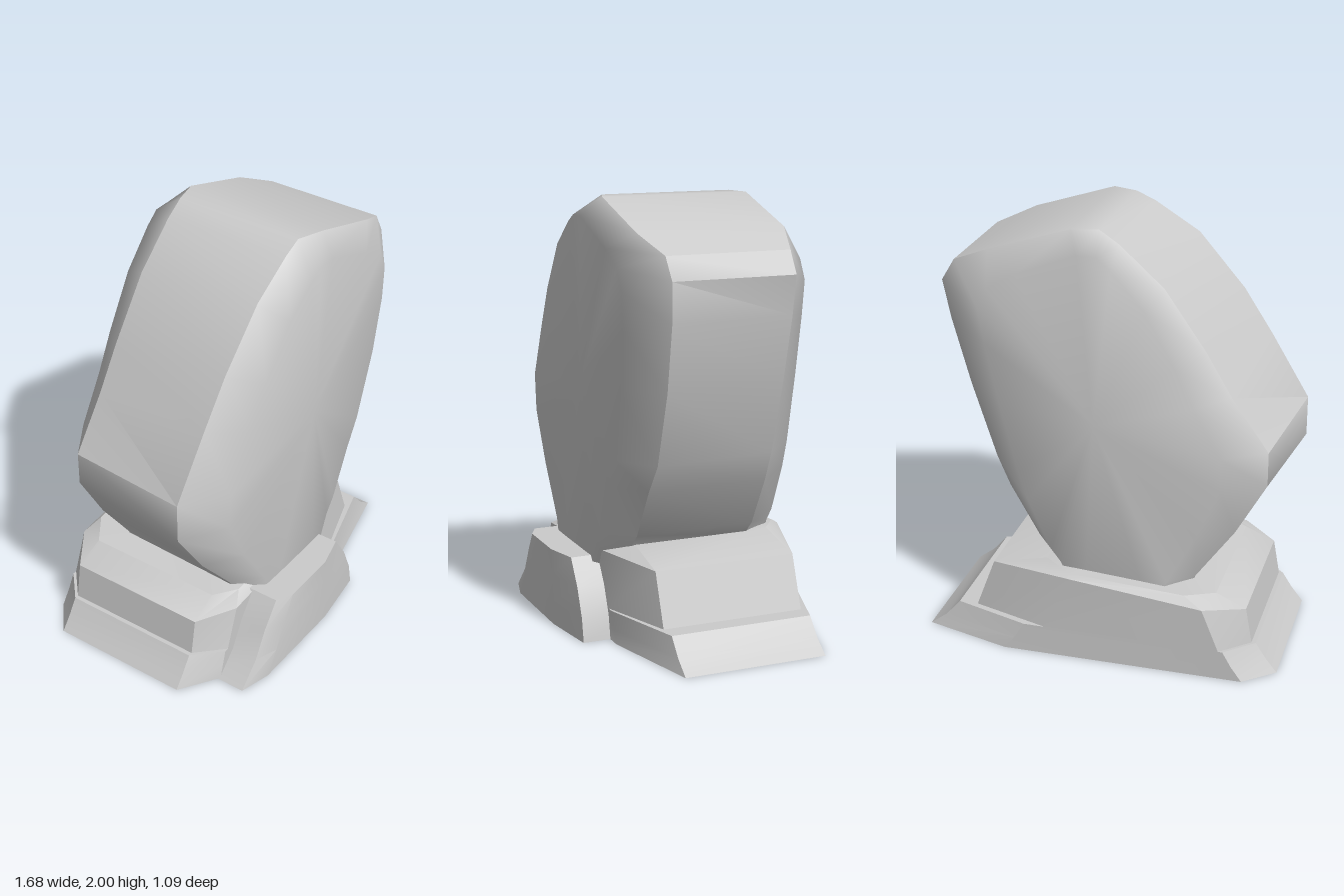
import * as THREE from 'three';
import { toCreasedNormals } from 'three/addons/utils/BufferGeometryUtils.js';

// Skin between rings of [x, y, z] points (counter-clockwise seen from the last ring's side)
function loft(rings, capStart, capEnd) {
  const n = rings[0].length, pos = rings.flat(2), idx = [];
  for (let i = 0; i < rings.length - 1; i++) {
    for (let j = 0; j < n; j++) {
      const k = (j + 1) % n, a = i * n + j, b = i * n + k;
      idx.push(a, b, b + n, a, b + n, a + n);
    }
  }
  const cap = (r, flip) => {
    const c = pos.length / 3;
    for (let m = 0; m < 3; m++) pos.push(rings[r].reduce((s, p) => s + p[m], 0) / n);
    for (let j = 0; j < n; j++) {
      const a = r * n + j, b = r * n + (j + 1) % n;
      idx.push(...(flip ? [c, b, a] : [c, a, b]));
    }
  };
  if (capStart) cap(0, true);
  if (capEnd) cap(rings.length - 1, false);
  const g = new THREE.BufferGeometry();
  g.setAttribute('position', new THREE.Float32BufferAttribute(pos, 3));
  g.setIndex(idx);
  g.computeVertexNormals();
  return g;
}

export function createModel() {
  const model = new THREE.Group();
  const material = new THREE.MeshStandardMaterial({ color: 0xcccccc });
  const add = (name, geometry) => {
    const mesh = new THREE.Mesh(geometry, material);
    mesh.name = name;
    model.add(mesh);
  };

  // Boulder rims, from the bottom up the right-hand edge and down the other
  const rimFront = [
    [0.10, 0.15, 0.26], [0.25, 0.42, 0.265], [0.32, 0.49, 0.265], [0.47, 0.73, 0.27],
    [0.57, 0.87, 0.27], [0.70, 1.22, 0.28], [0.76, 1.52, 0.285], [0.76, 1.70, 0.285],
    [0.70, 1.80, 0.29], [0.52, 1.88, 0.345], [0.14, 2.00, 0.35], [0.02, 2.00, 0.305],
    [-0.07, 1.96, 0.305], [-0.28, 1.83, 0.305], [-0.50, 1.58, 0.295], [-0.64, 1.37, 0.285],
    [-0.82, 1.08, 0.27], [-0.82, 0.89, 0.27], [-0.66, 0.64, 0.28], [-0.45, 0.39, 0.28],
    [-0.36, 0.15, 0.28],
  ];
  const rimBack = [
    [0.10, 0.15, -0.31], [0.25, 0.42, -0.31], [0.32, 0.49, -0.31], [0.46, 0.73, -0.305],
    [0.52, 0.87, -0.305], [0.635, 1.22, -0.30], [0.72, 1.52, -0.295], [0.76, 1.70, -0.29],
    [0.70, 1.80, -0.29], [0.52, 1.88, -0.35], [0.14, 2.00, -0.35], [0.02, 2.00, -0.32],
    [-0.07, 1.94, -0.32], [-0.27, 1.76, -0.32], [-0.46, 1.49, -0.325], [-0.58, 1.29, -0.33],
    [-0.75, 1.05, -0.335], [-0.75, 0.89, -0.335], [-0.61, 0.64, -0.33], [-0.43, 0.39, -0.33],
    [-0.35, 0.15, -0.33],
  ];
  // Ring of a face, shrunk towards the middle
  const inset = (rim, sx, depth) =>
    rim.map(([x, y]) => {
      const py = 1.05 + (y - 1.05) * (y > 1.05 ? 0.91 : 0.96);
      return [-0.05 + (x + 0.05) * sx, py, depth(py)];
    });
  const frontZ = (y) => 0.407 + 0.028 * Math.max(0, y - 0.85);
  const backZ = (y) => -0.463 + 0.021 * Math.max(0, y - 0.85);
  add('boulderRim', toCreasedNormals(loft([rimBack, rimFront]), 0.6));
  add('boulderFront', loft([rimFront, inset(rimFront, 0.75, frontZ)], false, true));
  add('boulderBack', loft([inset(rimBack, 0.73, backZ), rimBack], true, false));

  // Stepped base: left y, right y, left x, right x, back left x, back right x, front left x, front right x
  const tiers = [
    [0.00, 0.00, -0.84, 0.84, -0.70, 0.43, -0.66, 0.34],
    [0.07, 0.06, -0.785, 0.76, -0.65, 0.38, -0.64, 0.31],
    [0.14, 0.14, -0.74, 0.69, -0.61, 0.33, -0.62, 0.28],
    [0.14, 0.14, -0.72, 0.60, -0.59, 0.23, -0.60, 0.24],
    [0.31, 0.38, -0.69, 0.51, -0.51, 0.12, -0.53, 0.16],
  ].map(([yl, yr, l, r, bl, br, fl, fr], i) => {
    const rise = i === 4 ? 0.03 : 0;
    return [
      [fr, yr + rise / 2, 0.375], [r, yr, 0.255], [r, yr, -0.425], [br, yr + rise, -0.545],
      [bl, yl + rise, -0.545], [l, yl, -0.425], [l, yl, 0.255], [fl, yl + rise, 0.375],
    ];
  });
  // Raised shoulder on which the boulder rests
  tiers.push([[0.15, 0.41, 0.33], [0.25, 0.435, 0.25], [0.25, 0.435, -0.42], [0.11, 0.425, -0.52],
    [-0.42, 0.385, -0.51], [-0.55, 0.37, -0.42], [-0.55, 0.37, 0.25], [-0.45, 0.375, 0.33]]);
  add('base', toCreasedNormals(loft(tiers, true, true), 0.4));

  // Front slab leaning out of the base
  const slab = [
    [0.00, -0.67, 0.265, -0.52, -0.03],
    [0.11, -0.56, 0.245, -0.45, -0.03],
    [0.24, -0.49, 0.19, -0.39, -0.04],
    [0.36, -0.40, 0.11, -0.32, -0.05],
  ].map(([y, l, r, fl, fr]) => [
    [r, y, 0.505], [r, y, 0.25], [l, y, 0.25], [l, y, 0.505], [fl, y, 0.545], [fr, y, 0.545],
  ]);
  add('frontSlab', toCreasedNormals(loft(slab, true, true), 0.45));

  return model;
}
